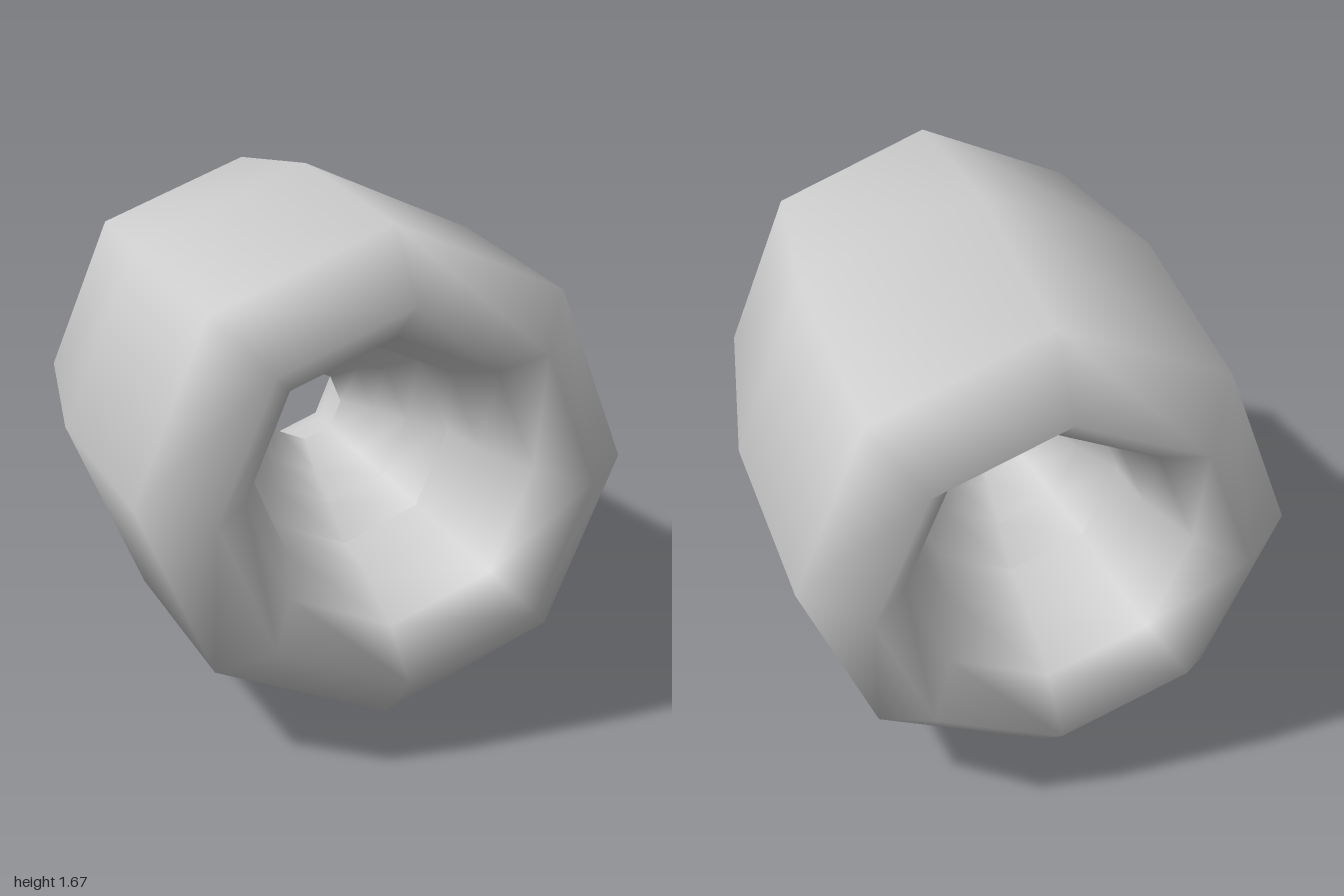
import * as THREE from 'three';

const SIDES = 8;
const RADIUS = 0.837;

// Turns a profile of [radius, z] points around the z axis.
function turned(name, profile, material) {
  const points = profile.map(([r, z]) => new THREE.Vector2(r, z));
  const geometry = new THREE.LatheGeometry(points, SIDES);
  geometry.rotateX(Math.PI / 2);
  const mesh = new THREE.Mesh(geometry, material);
  mesh.name = name;
  return mesh;
}

const mirrored = (profile) => profile.map(([r, z]) => [r, -z]).reverse();

export function createModel() {
  const group = new THREE.Group();
  group.name = 'barrelBead';
  const material = new THREE.MeshStandardMaterial({ color: 0xcccccc });

  // Bulging outer wall, rolled over the rim into a funnel at both ends
  const frontShell = [
    [0.765, 0.81], [0.57, 1], [0.45, 0.85], [0.375, 0.63], [0.355, 0.42],
  ];
  group.add(turned('barrelShell', [...mirrored(frontShell), [RADIUS, 0], ...frontShell], material));

  // Sloping ledge at the bottom of each funnel
  const ledge = [[0.355, 0.42], [0.27, 0.27]];
  group.add(turned('frontLedge', ledge, material));
  group.add(turned('backLedge', mirrored(ledge), material));

  // Bore narrowing to a throat in the middle
  const bore = [[0.27, 0.27], [0.21, 0.12], [0.13, 0]];
  group.add(turned('bore', [...bore, ...mirrored(bore).slice(1)], material));

  group.position.y = RADIUS;
  return group;
}
